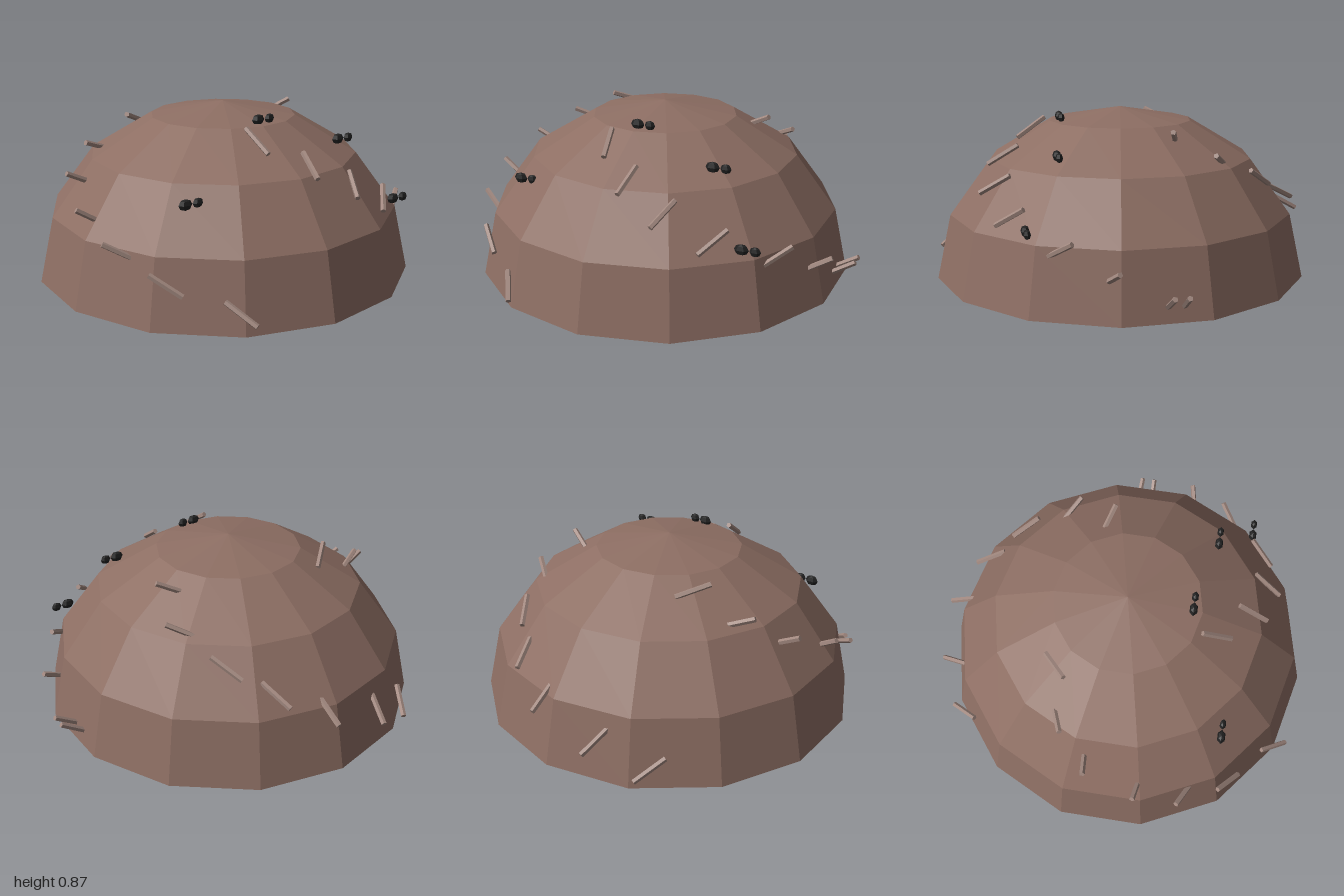
import * as THREE from 'three';

const mat = (color) => new THREE.MeshStandardMaterial({ color, flatShading: true, roughness: 1 });

export function createModel() {
  const model = new THREE.Group();
  const earth = mat(0x8d6e63), wood = mat(0xa1887f), black = mat(0x212121);

  const add = (name, geometry, material, parent = model) => {
    const mesh = new THREE.Mesh(geometry, material);
    mesh.name = name;
    parent.add(mesh);
    return mesh;
  };

  // Faceted dome with a closed underside
  const R = 0.972, H = 0.87, SIDES = 14;
  const mound = new THREE.Group();
  mound.name = 'mound';
  mound.position.set(-0.052, 0, 0.005);
  model.add(mound);
  const dome = add('dome', new THREE.SphereGeometry(R, SIDES, 4, Math.PI / 2, Math.PI * 2, 0, Math.PI / 2), earth, mound);
  dome.scale.y = H / R;
  const base = add('base', new THREE.CircleGeometry(R, SIDES, Math.PI / 2), earth, mound);
  base.rotation.x = Math.PI / 2;

  // Twigs winding round the mound: exposed end, then a point towards the other end
  const twigs = [
    [-0.52, 0.07, -0.89, -0.595, 0.15, -0.753],
    [-0.29, 0.17, -0.98, -0.33, 0.25, -0.84],
    [0.005, 0.285, -0.98, 0.008, 0.35, -0.865],
    [0.205, 0.395, -0.865, 0.255, 0.47, -0.72],
    [0.345, 0.5, -0.68, 0.425, 0.585, -0.555],
    [0.535, 0.69, -0.33, 0.445, 0.64, -0.395],
    [0.465, 0.8, -0.135, 0.36, 0.745, -0.175],
    [0.99, 0.145, -0.065, 0.88, 0.075, -0.075],
    [0.99, 0.145, 0.003, 0.88, 0.075, 0.003],
    [0.93, 0.255, 0.235, 0.83, 0.2, 0.26],
    [0.785, 0.365, 0.42, 0.7, 0.305, 0.49],
    [0.53, 0.475, 0.6, 0.435, 0.385, 0.72],
    [0.285, 0.59, 0.63, 0.225, 0.5, 0.77],
    [0.055, 0.7, 0.56, 0.03, 0.605, 0.715],
    [-0.16, 0.81, 0.39, -0.13, 0.71, 0.54],
    [-0.45, 0.065, 0.935, -0.535, 0.155, 0.8],
    [-0.8, 0.265, 0.59, -0.69, 0.175, 0.69],
    [-0.925, 0.37, 0.385, -0.815, 0.305, 0.44],
    [-0.95, 0.475, 0.165, -0.855, 0.415, 0.18],
    [-0.885, 0.58, -0.09, -0.775, 0.525, -0.1],
    [-0.72, 0.685, -0.225, -0.61, 0.64, -0.27],
    [-0.48, 0.8, -0.24, -0.375, 0.75, -0.335],
  ];
  const LENGTH = 0.18;
  const twigGeometry = new THREE.CylinderGeometry(0.014, 0.014, LENGTH, 5);
  const up = new THREE.Vector3(0, 1, 0);
  for (const [x, y, z, tx, ty, tz] of twigs) {
    const dir = new THREE.Vector3(tx - x, ty - y, tz - z).normalize();
    const twig = add('twig', twigGeometry, wood);
    twig.position.set(x, y, z).addScaledVector(dir, LENGTH / 2);
    twig.quaternion.setFromUnitVectors(up, dir);
  }

  // Ants: a larger abdomen and a smaller head, side by side
  const bead = new THREE.SphereGeometry(1, 6, 4);
  for (const [x, y, z] of [[-0.05, 0.828, 0.33], [0.38, 0.695, 0.415], [-0.59, 0.545, 0.557], [0.6, 0.392, 0.603]]) {
    const ant = new THREE.Group();
    ant.name = 'ant';
    ant.position.set(x, y, z);
    add('abdomen', bead, black, ant).scale.set(0.036, 0.027, 0.022);
    const head = add('head', bead, black, ant);
    head.scale.set(0.028, 0.024, 0.018);
    head.position.x = 0.066;
    model.add(ant);
  }
  return model;
}
